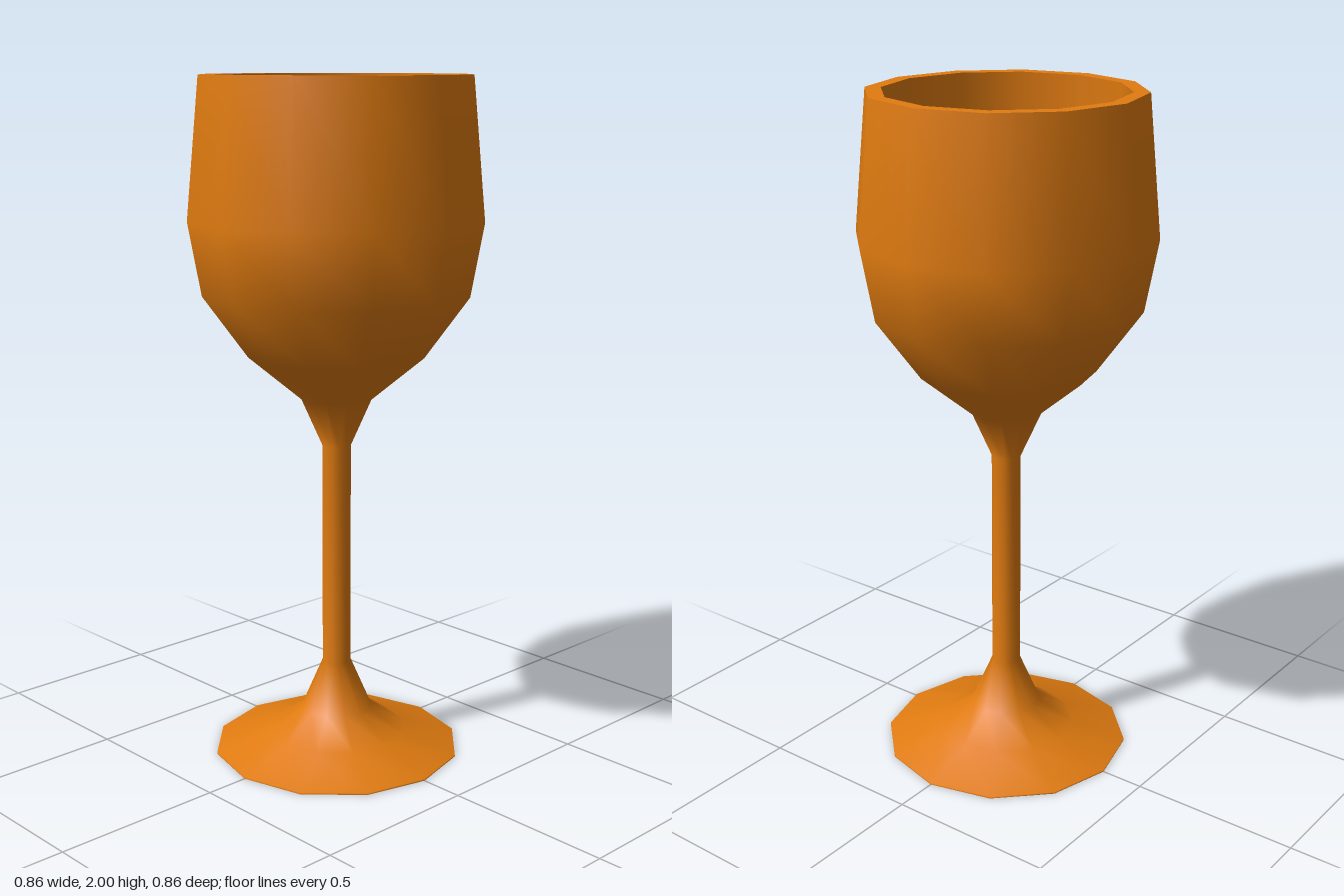
import * as THREE from 'three';

const SIDES = 12;
const material = new THREE.MeshStandardMaterial({ color: 0xe07b10 });

// Revolve a profile of [radius, height] pairs
function turned(name, profile) {
  const points = profile.map(([r, y]) => new THREE.Vector2(r, y));
  const mesh = new THREE.Mesh(new THREE.LatheGeometry(points, SIDES), material);
  mesh.name = name;
  return mesh;
}

export function createModel() {
  const group = new THREE.Group();
  group.name = 'goblet';

  // Separate shells keep the rim and foot edges sharp
  group.add(
    turned('footUnderside', [[0, 0], [0.37, 0]]),
    // Foot, stem and bowl share one smooth outer skin
    turned('outerBody', [
      [0.37, 0], [0.37, 0.005], [0.21, 0.055], [0.105, 0.125], [0.043, 0.27],
      [0.043, 0.94], [0.105, 1.08], [0.26, 1.21], [0.39, 1.39],
      [0.428, 1.6], [0.39, 2],
    ]),
    turned('rim', [[0.39, 2], [0.345, 2]]),
    turned('innerWall', [[0.345, 2], [0.365, 1.67]]),
    turned('bowlFloor', [[0.365, 1.67], [0, 1.67]]),
  );
  return group;
}
